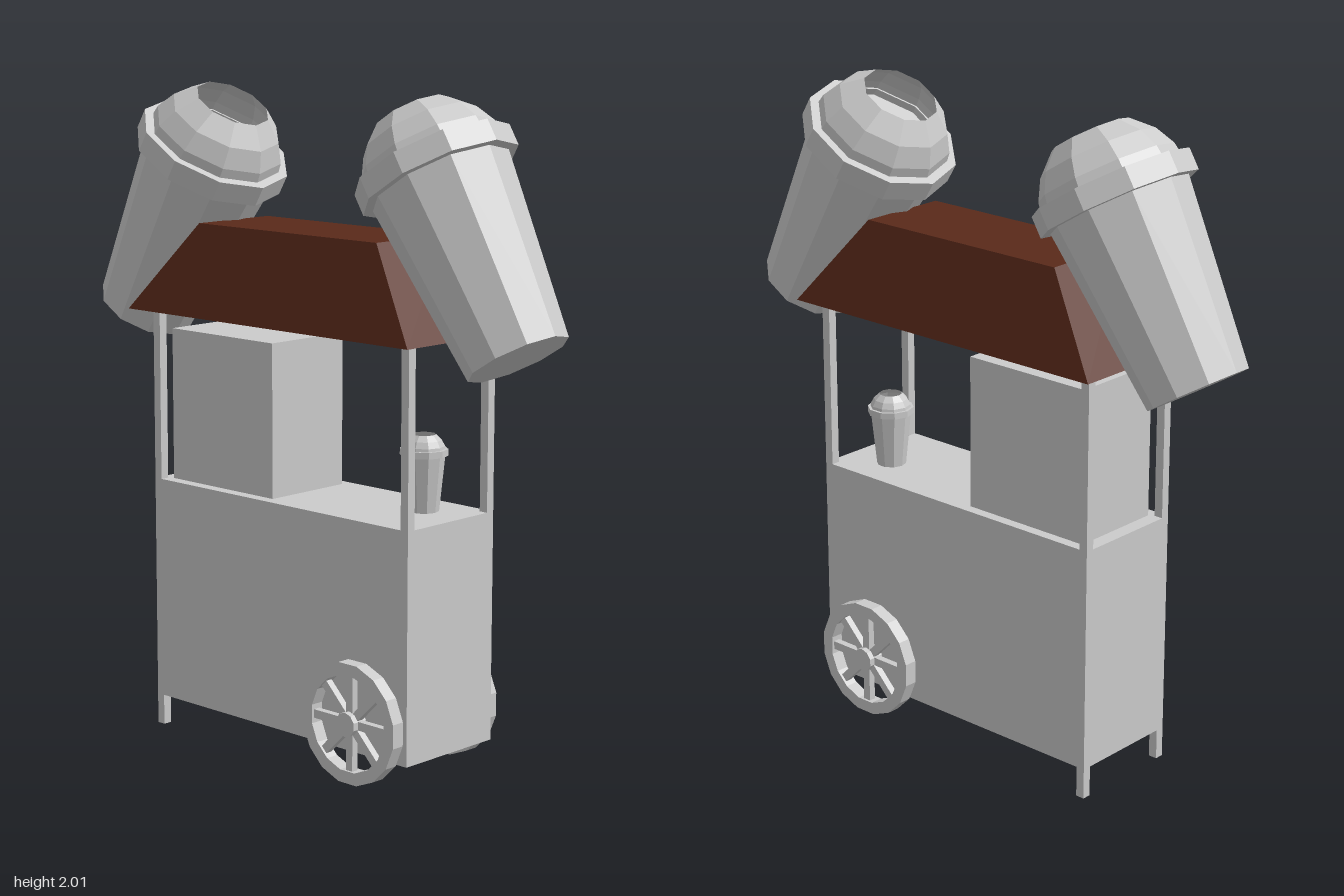
import * as THREE from 'three';

const grey = new THREE.MeshStandardMaterial({ color: 0xcccccc, flatShading: true });
const greyThin = new THREE.MeshStandardMaterial({ color: 0xcccccc, flatShading: true, side: THREE.DoubleSide });
const brown = new THREE.MeshStandardMaterial({ color: 0x5a2a1a, flatShading: true, side: THREE.DoubleSide });

function add(parent, name, geometry, material = grey) {
  const mesh = new THREE.Mesh(geometry, material);
  mesh.name = name;
  parent.add(mesh);
  return mesh;
}

// Box given by its lower and upper bounds
function block(parent, name, x0, x1, y0, y1, z0, z1) {
  const mesh = add(parent, name, new THREE.BoxGeometry(x1 - x0, y1 - y0, z1 - z0));
  mesh.position.set((x0 + x1) / 2, (y0 + y1) / 2, (z0 + z1) / 2);
  return mesh;
}

// Ten-sided turned shape from [radius, height] pairs, with a corner on +x
function turned(points) {
  const profile = points.map(([r, h]) => new THREE.Vector2(r, h));
  return new THREE.LatheGeometry(profile, 10, Math.PI / 2);
}

// Tapered drink cup with a rim band and an open-topped domed lid
function makeCup(name) {
  const cup = new THREE.Group();
  cup.name = name;
  add(cup, 'cupBody', turned([[0, 0], [0.153, 0], [0.21, 0.56], [0.21, 0.6], [0, 0.6]]));
  add(cup, 'cupRim', turned([[0.205, 0.56], [0.24, 0.56], [0.24, 0.626], [0.205, 0.626]]));
  add(cup, 'domeLid', turned([[0.217, 0.59], [0.207, 0.655], [0.176, 0.714], [0.118, 0.77]]), greyThin);
  return cup;
}

// Spoked wheel, lying against the cart with its outer side facing +z
function makeWheel(name) {
  const wheel = new THREE.Group();
  wheel.name = name;
  const ring = (r) => Array.from({ length: 16 }, (_, i) => {
    const a = (i + 0.5) * Math.PI / 8;
    return new THREE.Vector2(r * Math.cos(a), r * Math.sin(a));
  });
  const shape = new THREE.Shape(ring(0.184));
  shape.holes.push(new THREE.Path(ring(0.146)));
  add(wheel, 'wheelRim', new THREE.ExtrudeGeometry(shape, { depth: 0.042, bevelEnabled: false }));
  for (let i = 0; i < 4; i++) {
    const spoke = add(wheel, 'spokePair', new THREE.BoxGeometry(0.3, 0.026, 0.022));
    spoke.position.z = 0.023;
    spoke.rotation.z = i * Math.PI / 4;
  }
  const hub = add(wheel, 'hub', new THREE.CylinderGeometry(0.037, 0.037, 0.052, 10));
  hub.rotation.x = Math.PI / 2;
  hub.position.z = 0.026;
  return wheel;
}

// Hipped roof with a flat top, open underneath
function roofGeometry() {
  const geometry = new THREE.BoxGeometry(2, 0.27, 2);
  const p = geometry.attributes.position;
  for (let i = 0; i < p.count; i++) {
    const top = p.getY(i) > 0;
    p.setX(i, p.getX(i) * (top ? 0.365 : 0.577));
    p.setZ(i, p.getZ(i) * (top ? 0.145 : 0.245));
  }
  const index = Array.from(geometry.index.array);
  index.splice(18, 6); // drop the underside
  geometry.setIndex(index);
  geometry.clearGroups();
  geometry.computeVertexNormals();
  return geometry;
}

export function createModel() {
  const model = new THREE.Group();
  model.name = 'drinkCart';

  // Cart body and the cabinet on its counter
  block(model, 'cartBody', -0.535, 0.525, 0.095, 0.79, -0.185, 0.185);
  block(model, 'cabinet', -0.49, -0.055, 0.79, 1.26, -0.152, 0.148);

  // Roof
  const roof = add(model, 'roof', roofGeometry(), brown);
  roof.position.set(-0.004, 1.457, 0);

  // Posts, legs and wheels, front and back
  for (const side of [1, -1]) {
    const z0 = side > 0 ? 0.157 : -0.185;
    const z1 = z0 + 0.028;
    block(model, 'leftPost', 0.497, 0.525, 0.79, 1.335, z0, z1);
    block(model, 'rightPost', -0.535, -0.507, 0.79, 1.335, z0, z1);
    block(model, 'leg', -0.535, -0.507, 0, 0.095, z0, z1);

    const wheel = makeWheel(side > 0 ? 'frontWheel' : 'backWheel');
    wheel.position.set(0.33, 0.192, side * 0.185);
    if (side < 0) wheel.rotation.y = Math.PI;
    model.add(wheel);

    // Giant cups leaning inwards over the roof ends
    const cup = makeCup(side > 0 ? 'leftGiantCup' : 'rightGiantCup');
    cup.position.set(side * 0.769 - 0.004, 1.288, 0);
    cup.rotation.z = side * 0.55;
    model.add(cup);
  }

  // Small cup on the counter
  const smallCup = makeCup('counterCup');
  smallCup.scale.setScalar(0.297);
  smallCup.position.set(0.373, 0.79, -0.05);
  model.add(smallCup);

  return model;
}
